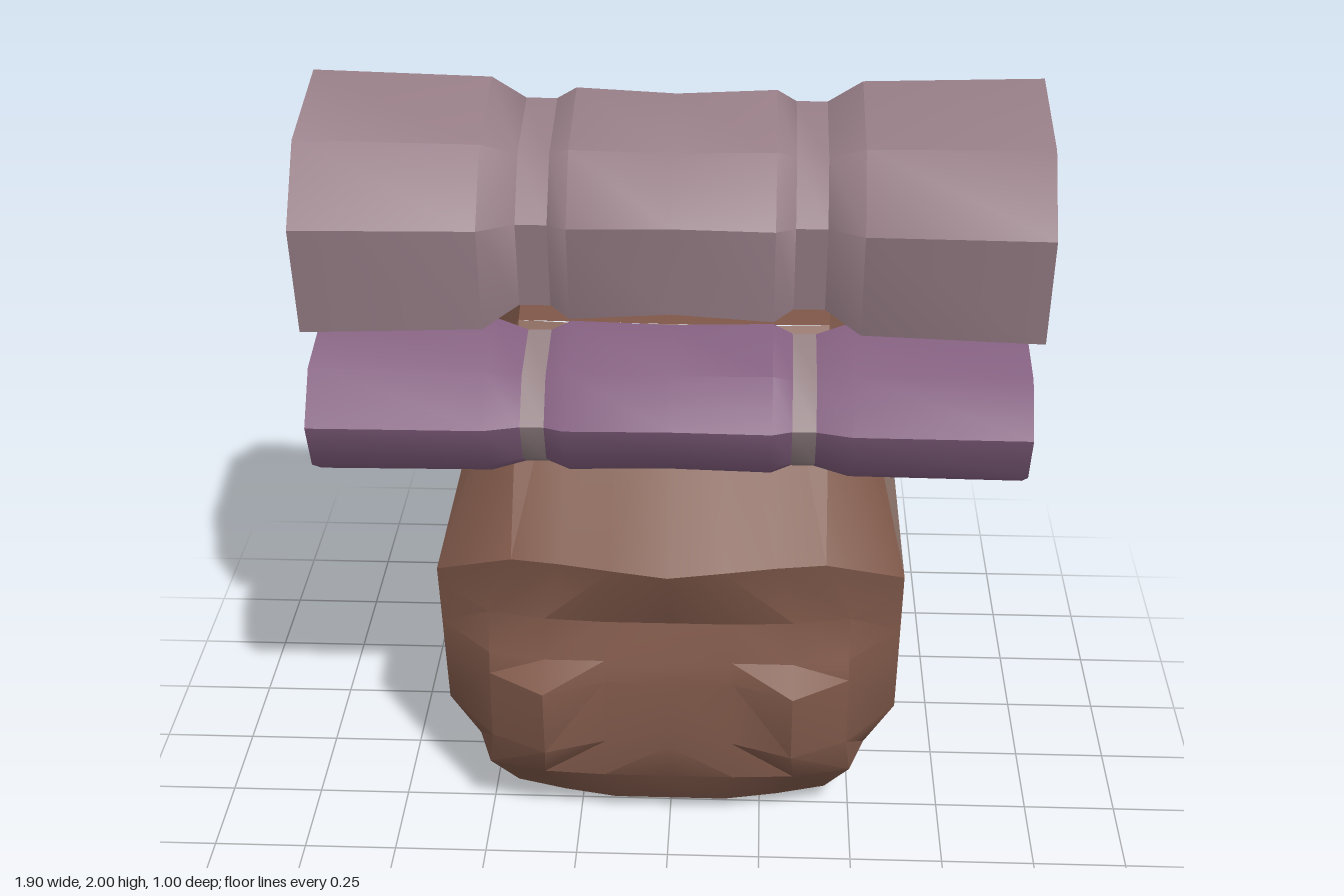
import * as THREE from 'three';
import { toCreasedNormals } from 'three/addons/utils/BufferGeometryUtils.js';

const paint = (name, color) => {
  const m = new THREE.MeshStandardMaterial({ color });
  m.name = name;
  return m;
};

// Collects triangles and quads of [x, y, z] corners into one creased geometry.
class Faces {
  constructor() { this.pos = []; }
  tri(a, b, c, flip = false) {
    for (const p of flip ? [a, c, b] : [a, b, c]) this.pos.push(...p);
  }
  quad(a, b, c, d, flip = false) {
    this.tri(a, b, c, flip);
    this.tri(a, c, d, flip);
  }
  mesh(name, material, crease = 0.5) {
    const g = new THREE.BufferGeometry();
    g.setAttribute('position', new THREE.Float32BufferAttribute(this.pos, 3));
    const mesh = new THREE.Mesh(toCreasedNormals(g, crease), material);
    mesh.name = name;
    return mesh;
  }
}

// Body rows from top to bottom:
// front y, front z at four columns, column spread, side [x, y, zFront, zBack], back y
const ROWS = [
  [1.40, [0.06, 0.06, 0.06, 0.05], 0.85, [0.50, 1.25, 0.00, -0.35], 1.40],
  [0.89, [0.50, 0.47, 0.44, 0.42], 0.85, [0.62, 0.79, 0.31, -0.37], 0.87],
  [0.69, [0.40, 0.40, 0.39, 0.36], 1.00, [0.62, 0.74, 0.30, -0.365], 0.75],
  [0.58, [0.43, 0.42, 0.42, 0.39], 1.00, [0.62, 0.60, 0.27, -0.355], 0.60],
  [0.52, [0.44, 0.43, 0.50, 0.40], 1.00, [0.62, 0.50, 0.25, -0.35], 0.50],
  [0.32, [0.44, 0.42, 0.48, 0.40], 1.00, [0.62, 0.31, 0.21, -0.34], 0.36],
  [0.20, [0.41, 0.41, 0.40, 0.36], 1.03, [0.54, 0.18, 0.20, -0.36], 0.26],
  [0.05, [0.31, 0.31, 0.28, 0.24], 0.90, [0.45, 0.08, 0.15, -0.38], 0.16],
];
const COLUMNS = [0, 0.17, 0.33, 0.48];
const SIDE = 4; // column index where the side panel starts

function bodyRow([y, zs, spread, [sx, sy, zf, zb], backY], r, s) {
  const backZ = r === 0 || r === ROWS.length - 1 ? -0.40 : -0.415;
  return [
    ...COLUMNS.map((x, i) => [s * x * spread, y, zs[i]]),
    [s * sx, sy, zf], [s * sx, sy, zb],
    [s * 0.43, backY, backZ], [0, backY, backZ],
  ];
}

function makeBody(leather, panel) {
  const group = new THREE.Group();
  group.name = 'bag';
  const shell = new Faces();
  for (const s of [1, -1]) {
    const side = new Faces();
    const flip = s < 0;
    const rows = ROWS.map((row, r) => bodyRow(row, r, s));
    for (let r = 0; r < rows.length - 1; r++) {
      for (let c = 0; c < rows[r].length - 1; c++) {
        const target = c === SIDE && r < 5 ? side : shell;
        target.quad(rows[r][c], rows[r + 1][c], rows[r + 1][c + 1], rows[r][c + 1], flip);
      }
    }
    // top with its bevelled shoulder
    const t = rows[0];
    shell.quad(t[3], t[4], t[5], t[6], flip);
    shell.quad(t[7], t[0], t[3], t[6], flip);
    // shallow pointed base
    const b = rows[rows.length - 1];
    for (let c = 0; c < b.length - 1; c++) shell.tri([0, 0, -0.05], b[c + 1], b[c], flip);
    group.add(side.mesh(s > 0 ? 'leftSidePanel' : 'rightSidePanel', panel));
  }
  group.add(shell.mesh('bagShell', leather));
  return group;
}

// Flat bent strip on a roll end, following [z, y] points.
function coilPlate(path, width, x, material) {
  const [cz, cy] = path.reduce((a, p) => [a[0] + p[0] / path.length, a[1] + p[1] / path.length], [0, 0]);
  const f = new Faces();
  const sgn = Math.sign(x);
  const at = ([z, y], inset) => {
    const d = Math.hypot(z - cz, y - cy);
    const k = 1 - inset / d;
    return [x + sgn * 0.004, cy + (y - cy) * k, cz + (z - cz) * k];
  };
  for (let i = 0; i < path.length - 1; i++) {
    const a = path[i], b = path[i + 1];
    f.quad(at(a, 0), at(a, width), at(b, width), at(b, 0), sgn > 0);
  }
  const mesh = f.mesh('endCoil', material);
  return mesh;
}

// Roll along x: [z, y] outline scaled at mirrored stations [x, scale].
function makeRoll({ name, outline, centre, half, cloth, end, band, coil, coilWidth, coilPaint }) {
  const group = new THREE.Group();
  group.name = name;
  const stations = [...half.map(([x, k]) => [-x, k]), ...half.slice(0, -1).reverse()];
  const ring = ([x, k]) => outline.map(([z, y]) =>
    [x, centre[1] + (y - centre[1]) * k, centre[0] + (z - centre[0]) * k]);
  const rings = stations.map(ring);
  const n = outline.length;
  const wrap = new Faces();
  const straps = new Faces();
  for (let i = 0; i < rings.length - 1; i++) {
    const middle = Math.abs(stations[i][0] + stations[i + 1][0]) / 2;
    const isBand = middle > 0.32 && middle < 0.36;
    for (let j = 0; j < n; j++) {
      const k = (j + 1) % n;
      (isBand ? straps : wrap).quad(rings[i][j], rings[i][k], rings[i + 1][k], rings[i + 1][j]);
    }
  }
  group.add(wrap.mesh('rollCloth', cloth, 0.75), straps.mesh('rollStraps', band, 0.75));
  for (const s of [1, -1]) {
    const edge = s > 0 ? rings[rings.length - 1] : rings[0];
    const x = edge[0][0];
    const cap = new Faces();
    for (let j = 0; j < n; j++) cap.tri([x, centre[1], centre[0]], edge[j], edge[(j + 1) % n], s < 0);
    group.add(cap.mesh('rollEnd', end), coilPlate(coil, coilWidth, x, coilPaint));
  }
  return group;
}

export function createModel() {
  const leather = paint('brown leather', 0x80594a);
  const panel = paint('pale side leather', 0xa08479);
  const mauve = paint('mauve cloth', 0x957c85);
  const olive = paint('olive roll end', 0x84836a);
  const purple = paint('purple cloth', 0x835f7f);
  const blue = paint('blue roll end', 0x75779f);
  const strap = paint('grey pink strap', 0x958285);
  const coilMauve = paint('coil mauve', 0x866a7c);

  const model = new THREE.Group();
  model.name = 'backpack';
  model.add(makeBody(leather, panel));

  // large bedroll on top
  model.add(makeRoll({
    name: 'largeBedroll',
    outline: [[-0.18, 2.0], [0.15, 1.93], [0.30, 1.75], [0.25, 1.45], [0.14, 1.455],
      [0.05, 1.40], [-0.27, 1.40], [-0.50, 1.58], [-0.45, 1.80]],
    centre: [-0.10, 1.70],
    half: [[0.945, 1], [0.48, 0.96], [0.39, 0.79], [0.31, 0.79], [0.26, 0.88], [0, 0.84]],
    cloth: mauve, end: olive, band: mauve,
    coil: [[0.06, 1.54], [0.13, 1.74], [0.07, 1.80], [-0.14, 1.84], [-0.33, 1.66], [-0.22, 1.49], [-0.14, 1.50]],
    coilWidth: 0.04, coilPaint: coilMauve,
  }));

  // small bedroll resting on the sloped flap
  model.add(makeRoll({
    name: 'smallBedroll',
    outline: [[0.14, 1.455], [0.37, 1.41], [0.47, 1.29], [0.42, 1.16], [0.31, 1.09], [0.20, 1.20], [0.06, 1.38]],
    centre: [0.28, 1.28],
    half: [[0.905, 1], [0.46, 0.98], [0.37, 0.84], [0.31, 0.84], [0.26, 0.95], [0, 0.92]],
    cloth: purple, end: blue, band: strap,
    coil: [[0.35, 1.20], [0.37, 1.28], [0.31, 1.34], [0.18, 1.36]],
    coilWidth: 0.025, coilPaint: blue,
  }));

  return model;
}
